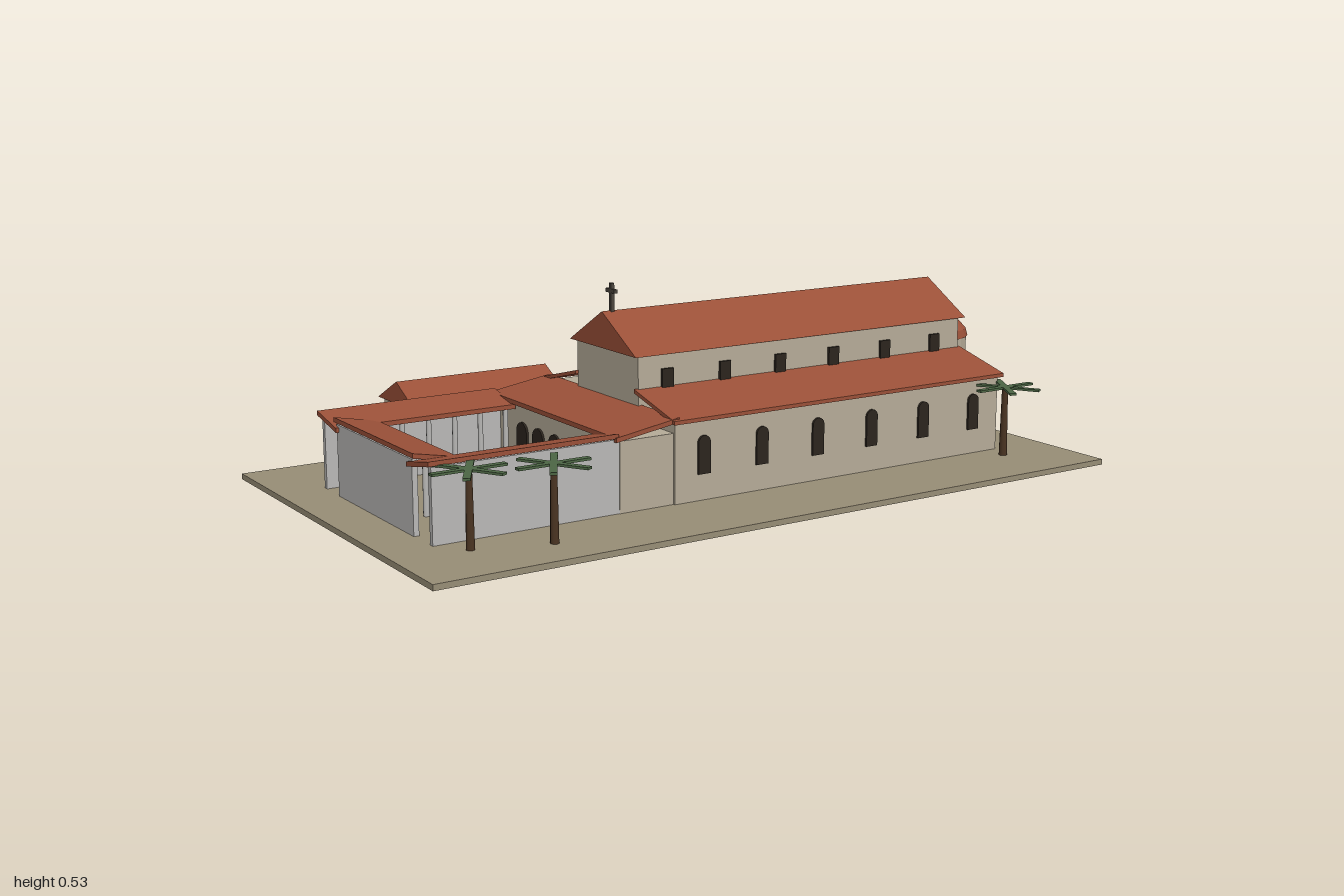
import * as THREE from 'three';

const mat = (color, extra = {}) => new THREE.MeshStandardMaterial({ color, ...extra });

export function createModel() {
  const model = new THREE.Group();
  const wall = mat(0xb5ab98), roof = mat(0x9a5038), pale = mat(0xb9b8b6);
  const ground = mat(0x978d76), dark = mat(0x2c251e), iron = mat(0x4a443c);
  const trunkMat = mat(0x4a3422), leafMat = mat(0x4c6644);
  const wallFacet = mat(0xb5ab98, { flatShading: true });
  const roofFacet = mat(0x9a5038, { flatShading: true });
  const G = 0.015; // ground level

  function add(name, geometry, material, parent = model) {
    const mesh = new THREE.Mesh(geometry, material);
    mesh.name = name;
    parent.add(mesh);
    return mesh;
  }
  // box given by its limits
  function box(name, x0, x1, y0, y1, z0, z1, material, parent) {
    const g = new THREE.BoxGeometry(x1 - x0, y1 - y0, z1 - z0);
    g.translate((x0 + x1) / 2, (y0 + y1) / 2, (z0 + z1) / 2);
    return add(name, g, material, parent);
  }
  // section of [z, y] points swept along x
  function alongX(name, pts, x0, x1, material) {
    const s = new THREE.Shape(pts.map(([z, y]) => new THREE.Vector2(-z, y)));
    const g = new THREE.ExtrudeGeometry(s, { depth: x1 - x0, bevelEnabled: false });
    return add(name, g.rotateY(Math.PI / 2).translate(x0, 0, 0), material);
  }
  // section of [x, y] points swept along z
  function alongZ(name, pts, z0, z1, material) {
    const s = new THREE.Shape(pts.map(([x, y]) => new THREE.Vector2(x, y)));
    const g = new THREE.ExtrudeGeometry(s, { depth: z1 - z0, bevelEnabled: false });
    return add(name, g.translate(0, 0, z0), material);
  }
  // sloping slab section between two top edges
  const slab = (a, b, t = 0.012) => [a, b, [b[0], b[1] - t], [a[0], a[1] - t]];
  // round-headed opening panel, standing on y = 0 and facing z
  function arch(w, h, depth) {
    const r = w / 2, s = new THREE.Shape();
    s.moveTo(-r, 0);
    s.lineTo(r, 0);
    s.lineTo(r, h - r);
    s.absarc(0, h - r, r, 0, Math.PI);
    s.closePath();
    return new THREE.ExtrudeGeometry(s, { depth, bevelEnabled: false, curveSegments: 8 })
      .translate(0, 0, -depth / 2);
  }

  box('ground', -1, 1, 0, G, -0.565, 0.565, ground);

  // Main hall with side aisles
  box('naveWalls', -0.22, 0.84, G, 0.36, -0.15, 0.15, wall);
  alongX('naveRoof', [[0.163, 0.36], [0, 0.455], [-0.163, 0.36]], -0.235, 0.855, roof);
  for (const s of [1, -1]) {
    box('aisleWalls', -0.22, 0.84, G, 0.22, s > 0 ? 0.14 : -0.317, s > 0 ? 0.317 : -0.14, wall);
    alongX('aisleRoof', slab([s * 0.145, 0.277], [s * 0.33, 0.229], 0.01), -0.23, 0.85, roof);
    for (let i = 0; i < 6; i++) {
      const x = -0.135 + i * 0.177;
      add('aisleWindow', arch(0.036, 0.098, 0.012), dark).position.set(x, 0.083, s * 0.317);
      box('upperWindow', x - 0.017, x + 0.017, 0.257, 0.322, s * 0.152 - 0.005, s * 0.152 + 0.005, dark);
    }
  }

  // Apse
  add('apse', new THREE.CylinderGeometry(0.125, 0.125, 0.275, 18), wallFacet)
    .position.set(0.84, G + 0.1375, 0);
  const cap = add('apseRoof',
    new THREE.SphereGeometry(0.128, 18, 5, 0, Math.PI * 2, 0, Math.PI / 2), roofFacet);
  cap.position.set(0.84, 0.29, 0);
  cap.scale.y = 0.55;

  // Roof cross
  const cross = new THREE.Group();
  cross.name = 'cross';
  model.add(cross);
  box('crossPost', -0.21, -0.2, 0.44, 0.526, -0.005, 0.005, iron, cross);
  box('crossArm', -0.21, -0.2, 0.501, 0.511, -0.021, 0.021, iron, cross);

  // Entrance hall
  box('entranceHall', -0.375, -0.215, G, 0.195, -0.312, 0.312, wall);
  alongZ('entranceRoof', slab([-0.39, 0.207], [-0.21, 0.235]), -0.322, 0.322, roof);
  for (let i = -2; i <= 2; i++) {
    const door = add('entranceArch', arch(0.055, 0.135, 0.012), dark);
    door.rotation.y = Math.PI / 2;
    door.position.set(-0.375, G, i * 0.085);
  }

  // Courtyard: outer walls, inward-sloping roofs and columns
  for (const s of [1, -1]) {
    box('courtSideWall', -0.875, -0.375, G, 0.2, s * 0.303 - 0.007, s * 0.303 + 0.007, pale);
    alongX('courtSideRoof', slab([s * 0.318, 0.216], [s * 0.202, 0.193]), -0.885, -0.38, roof);
    for (let i = 0; i < 6; i++) column(-0.775 + i * 0.074, s * 0.212);
  }
  box('courtEndWall', -0.877, -0.863, G, 0.2, -0.215, 0.215, pale);
  alongZ('courtEndRoof', slab([-0.88, 0.216], [-0.763, 0.193]), -0.226, 0.226, roof);
  for (let i = -2; i <= 2; i++) column(-0.775, i * 0.071);
  function column(x, z) {
    add('courtColumn', new THREE.CylinderGeometry(0.007, 0.008, 0.172, 8), pale)
      .position.set(x, G + 0.086, z);
  }

  // Domed side chapel
  box('chapelWalls', 0.62, 0.872, G, 0.207, -0.5, -0.247, wall);
  const dome = add('chapelDome',
    new THREE.SphereGeometry(0.129, 24, 8, 0, Math.PI * 2, 0, Math.PI / 2), roofFacet);
  dome.position.set(0.747, 0.205, -0.377);
  dome.scale.y = 0.59;

  // Side annex
  box('annexWalls', -0.593, -0.162, G, 0.178, -0.555, -0.345, wall);
  alongX('annexRoof', [[-0.333, 0.175], [-0.45, 0.236], [-0.567, 0.175]], -0.605, -0.15, roof);

  // Palm trees
  for (const [x, z] of [[-0.815, 0.38], [-0.63, 0.44], [0.81, 0.38]]) {
    const palm = new THREE.Group();
    palm.name = 'palm';
    palm.position.set(x, 0, z);
    model.add(palm);
    add('palmTrunk', new THREE.CylinderGeometry(0.008, 0.011, 0.19, 8), trunkMat, palm)
      .position.y = G + 0.092;
    for (let i = 0; i < 3; i++) {
      const leaf = add('palmLeaf', new THREE.BoxGeometry(0.19, 0.006, 0.018), leafMat, palm);
      leaf.position.y = 0.203;
      leaf.rotation.y = i * Math.PI / 3;
    }
  }
  return model;
}
